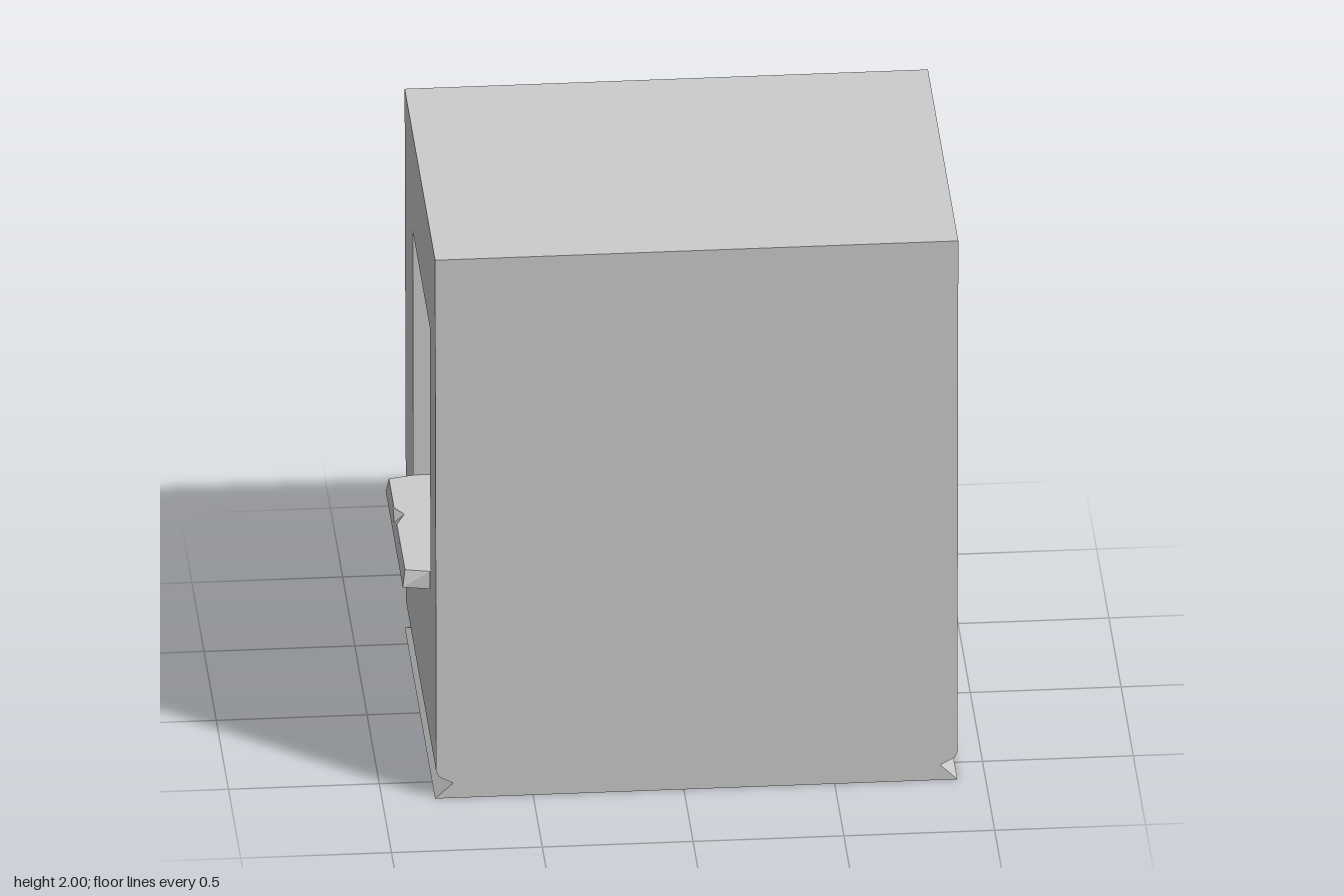
import * as THREE from 'three';

const material = new THREE.MeshStandardMaterial({ color: 0xcccccc, flatShading: true });

// Mesh from quads, each four corners counter-clockwise seen from outside
function quadMesh(name, quads) {
  const pos = [];
  for (const [a, b, c, d] of quads) pos.push(...a, ...b, ...c, ...a, ...c, ...d);
  const geo = new THREE.BufferGeometry();
  geo.setAttribute('position', new THREE.Float32BufferAttribute(pos, 3));
  geo.computeVertexNormals();
  const mesh = new THREE.Mesh(geo, material);
  mesh.name = name;
  return mesh;
}

function box(name, w, h, d, x, y, z) {
  const mesh = new THREE.Mesh(new THREE.BoxGeometry(w, h, d), material);
  mesh.position.set(x, y, z);
  mesh.name = name;
  return mesh;
}

// Window opening
const WIN = { z0: -0.3, z1: 0.4, y0: 0.73, y1: 1.637, pane: -0.66 };
const FRONT = 0.622;

// Heights of the shell with left x, right x and back z; the front stays flat
const rows = [
  [0, -0.825, 0.907, -0.62],
  [0.055, -0.765, 0.85, -0.5],
  [0.08, -0.812, 0.897, -0.593],
  [0.1, -0.821, 0.907, -0.609],
  [2, -0.825, 0.91, -0.622],
];

// Shell with a groove above the base on three sides
function makeShell() {
  const rings = rows.map(([y, l, r, b]) => [
    [l, y, FRONT], [r, y, FRONT], [r, y, b], [l, y, b],
  ]);
  const quads = [];
  const last = rings.length - 1;
  for (let i = 0; i < last; i++) {
    for (let s = 0; s < 4; s++) {
      if (i === last - 1 && s === 3) continue; // the window wall goes here
      const t = (s + 1) % 4;
      quads.push([rings[i][s], rings[i][t], rings[i + 1][t], rings[i + 1][s]]);
    }
  }
  quads.push(rings[last], [...rings[0]].reverse());
  return quadMesh('shell', quads);
}

// Side wall pierced by the window
function makeWindowWall() {
  const [low, high] = rows.slice(-2);
  const shape = new THREE.Shape([
    new THREE.Vector2(low[3], low[0]), new THREE.Vector2(FRONT, low[0]),
    new THREE.Vector2(FRONT, high[0]), new THREE.Vector2(high[3], high[0]),
  ]);
  shape.holes.push(new THREE.Path([
    new THREE.Vector2(WIN.z0, WIN.y0), new THREE.Vector2(WIN.z0, WIN.y1),
    new THREE.Vector2(WIN.z1, WIN.y1), new THREE.Vector2(WIN.z1, WIN.y0),
  ]));
  const geo = new THREE.ShapeGeometry(shape).rotateY(-Math.PI / 2);
  const p = geo.attributes.position;
  for (let i = 0; i < p.count; i++) {
    const t = (p.getY(i) - low[0]) / (high[0] - low[0]);
    p.setX(i, THREE.MathUtils.lerp(low[1], high[1], t));
  }
  geo.computeVertexNormals();
  const mesh = new THREE.Mesh(geo, material);
  mesh.name = 'windowWall';
  return mesh;
}

// Sill lofted along z, with splayed ends and a chip in its upper edge
function makeSill() {
  // z at the foot, z at the top edge, top edge x, chip y
  const stations = [
    [-0.3, -0.28, -0.905, 0.71],
    [-0.07, -0.07, -0.905, 0.725],
    [-0.02, -0.02, -0.875, 0.7],
    [0.05, 0.05, -0.905, 0.725],
    [0.4, 0.38, -0.905, 0.71],
  ];
  const loops = stations.map(([z, zt, xt, yc]) => {
    const lipZ = THREE.MathUtils.lerp(z, zt, (yc - 0.675) / 0.055);
    return [
      [-0.823, 0.665, z], [-0.914, 0.675, z],
      [-0.908, yc, lipZ], [xt, 0.73, zt], [-0.823, 0.73, z],
    ];
  });
  const quads = [];
  for (let i = 0; i < loops.length - 1; i++) {
    const a = loops[i], b = loops[i + 1];
    for (let k = 0; k < 4; k++) quads.push([a[k], b[k], b[k + 1], a[k + 1]]);
  }
  // end faces
  const s = loops[0], e = loops[loops.length - 1];
  quads.push([s[0], s[1], s[3], s[4]], [e[4], e[3], e[1], e[0]]);
  return quadMesh('windowSill', quads);
}

// Reveal, pane and glazing bars
function makeWindow() {
  const { z0, z1, y0, y1, pane } = WIN;
  const outer = -0.823;
  const corner = (x) => [[x, y0, z0], [x, y0, z1], [x, y1, z1], [x, y1, z0]];
  const o = corner(outer), n = corner(pane);
  const reveal = [];
  for (let i = 0; i < 4; i++) {
    const j = (i + 1) % 4;
    reveal.push([o[i], o[j], n[j], n[i]]);
  }
  const group = new THREE.Group();
  group.name = 'window';
  const midY = (y0 + y1) / 2, midZ = (z0 + z1) / 2;
  group.add(
    quadMesh('windowReveal', reveal),
    quadMesh('windowPane', [n]),
    box('verticalBar', 0.022, y1 - y0, 0.026, pane - 0.011, midY, midZ),
    box('horizontalBar', 0.026, 0.026, z1 - z0, pane - 0.013, midY + 0.01, midZ),
    makeSill(),
  );
  return group;
}

export function createModel() {
  const model = new THREE.Group();
  model.name = 'building';
  model.add(makeShell(), makeWindowWall(), makeWindow());
  return model;
}
